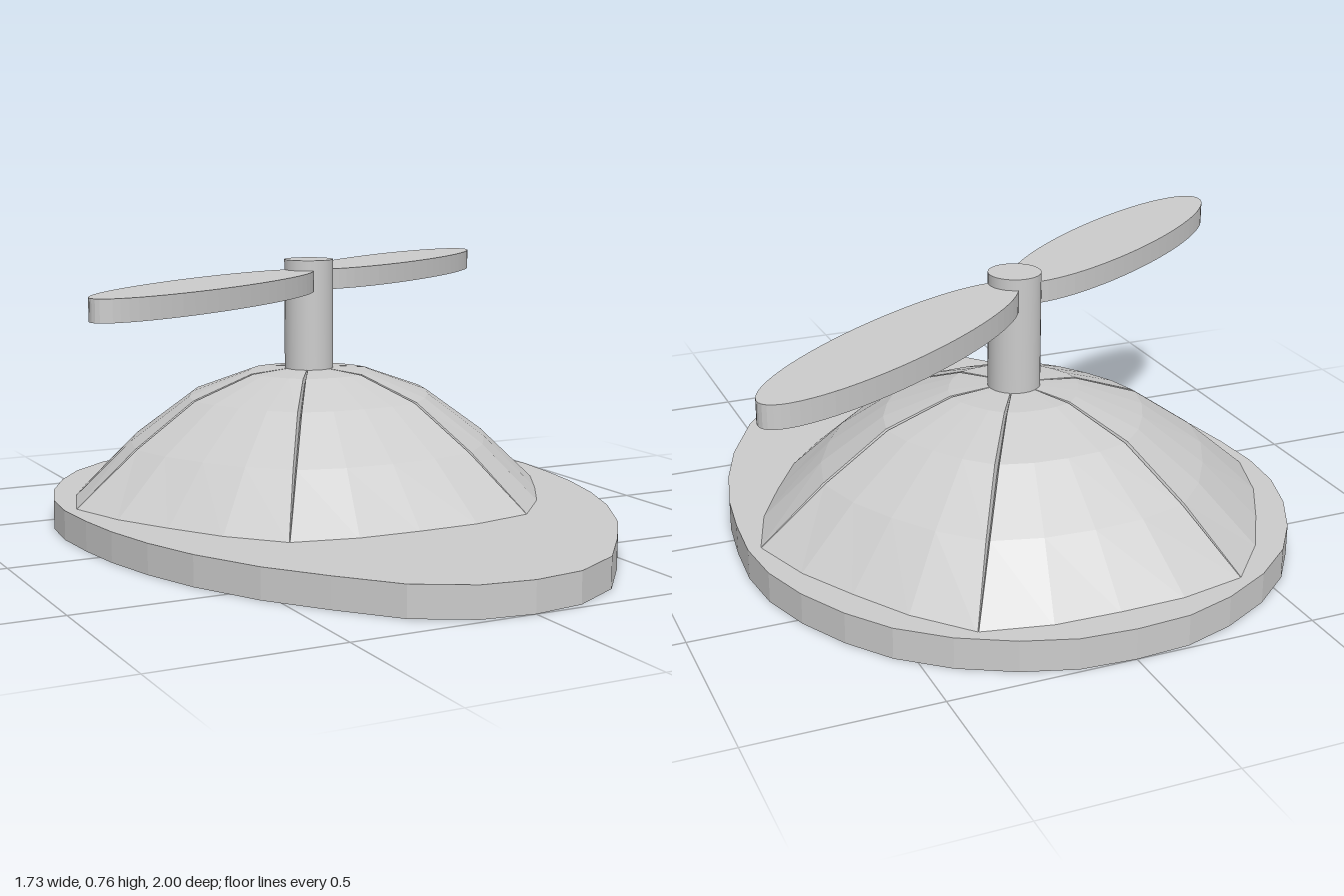
import * as THREE from 'three';

const HUB_Z = -0.235; // axis shared by crown, hub and blades

const grey = (flatShading) => new THREE.MeshStandardMaterial({ color: 0xcccccc, flatShading });

function addMesh(parent, name, geometry, flat = true) {
  const mesh = new THREE.Mesh(geometry, grey(flat));
  mesh.name = name;
  parent.add(mesh);
  return mesh;
}

// Lays a plan shape flat (shape y becomes -z) with its underside at y = 0
function slab(shape, height, curveSegments = 12) {
  const geo = new THREE.ExtrudeGeometry(shape, { depth: height, bevelEnabled: false, curveSegments });
  return geo.rotateX(-Math.PI / 2);
}

// Egg-shaped base with the peak reaching forward
function brimGeometry() {
  const half = [
    [0, -1], [0.15, -0.99], [0.29, -0.945], [0.43, -0.87], [0.55, -0.77], [0.635, -0.655],
    [0.705, -0.52], [0.75, -0.38], [0.765, -0.235], [0.755, -0.08], [0.735, 0.07], [0.695, 0.235],
    [0.635, 0.4], [0.535, 0.59], [0.42, 0.745], [0.295, 0.895], [0.145, 0.98], [0, 1],
  ];
  const mirrored = half.slice(1, -1).reverse().map(([x, z]) => [-x, z]);
  const points = [...half, ...mirrored].map(([x, z]) => new THREE.Vector2(x, -z));
  return slab(new THREE.Shape(points), 0.085);
}

// Six-panel dome: seams stand out at the corners and carry a narrow groove
function crownGeometry() {
  const rings = [ // seam radius, height, panel-middle radius, groove half-width
    [0.735, 0.08, 0.68, 0.001],
    [0.55, 0.24, 0.522, 0.005],
    [0.37, 0.367, 0.353, 0.006],
    [0.185, 0.434, 0.178, 0.004],
    [0, 0.45, 0, 0],
  ];
  const positions = [];
  const index = [];
  const perPanel = 6; // groove bottom, groove edge, three inner points, groove edge
  const count = 6 * perPanel;
  for (const [rSeam, y, rMid, groove] of rings) {
    for (let k = 0; k < count; k++) {
      const panel = Math.floor(k / perPanel);
      const step = k % perPanel;
      const lip = rSeam > 0 ? groove / rSeam : 0;
      const t = [0, lip, Math.PI / 12, Math.PI / 6, Math.PI / 4, Math.PI / 3 - lip][step];
      const fromMid = Math.abs(t / (Math.PI / 6) - 1);
      const r = rMid + (rSeam - rMid) * fromMid ** 1.5;
      const sink = step === 0 ? groove * 4 : 0;
      const angle = panel * Math.PI / 3 + t;
      positions.push(r * Math.cos(angle), y - sink, -r * Math.sin(angle));
    }
  }
  for (let i = 0; i < rings.length - 1; i++) {
    for (let k = 0; k < count; k++) {
      const a = i * count + k;
      const b = i * count + (k + 1) % count;
      index.push(a, b, a + count);
      if (i < rings.length - 2) index.push(b, b + count, a + count);
    }
  }
  const geo = new THREE.BufferGeometry();
  geo.setAttribute('position', new THREE.Float32BufferAttribute(positions, 3));
  geo.setIndex(index);
  geo.computeVertexNormals();
  return geo;
}

// Long flat ellipse running out from the hub
function bladeGeometry() {
  const shape = new THREE.Shape();
  shape.absellipse(0.433, 0.285, 0.512, 0.127, 0, Math.PI * 2, false, THREE.MathUtils.degToRad(34));
  return slab(shape, 0.06, 32);
}

export function createModel() {
  const model = new THREE.Group();
  model.name = 'propellerCap';

  addMesh(model, 'brim', brimGeometry());
  addMesh(model, 'crown', crownGeometry()).position.z = HUB_Z;

  const propeller = new THREE.Group();
  propeller.name = 'propeller';
  propeller.position.z = HUB_Z;
  model.add(propeller);

  const hub = addMesh(propeller, 'hub', new THREE.CylinderGeometry(0.072, 0.072, 0.345, 32), false);
  hub.position.y = 0.765 - 0.345 / 2;

  // Two opposite blades
  ['leftBlade', 'rightBlade'].forEach((name, i) => {
    const blade = addMesh(propeller, name, bladeGeometry());
    blade.position.y = 0.675;
    blade.rotation.y = i * Math.PI;
  });

  return model;
}
